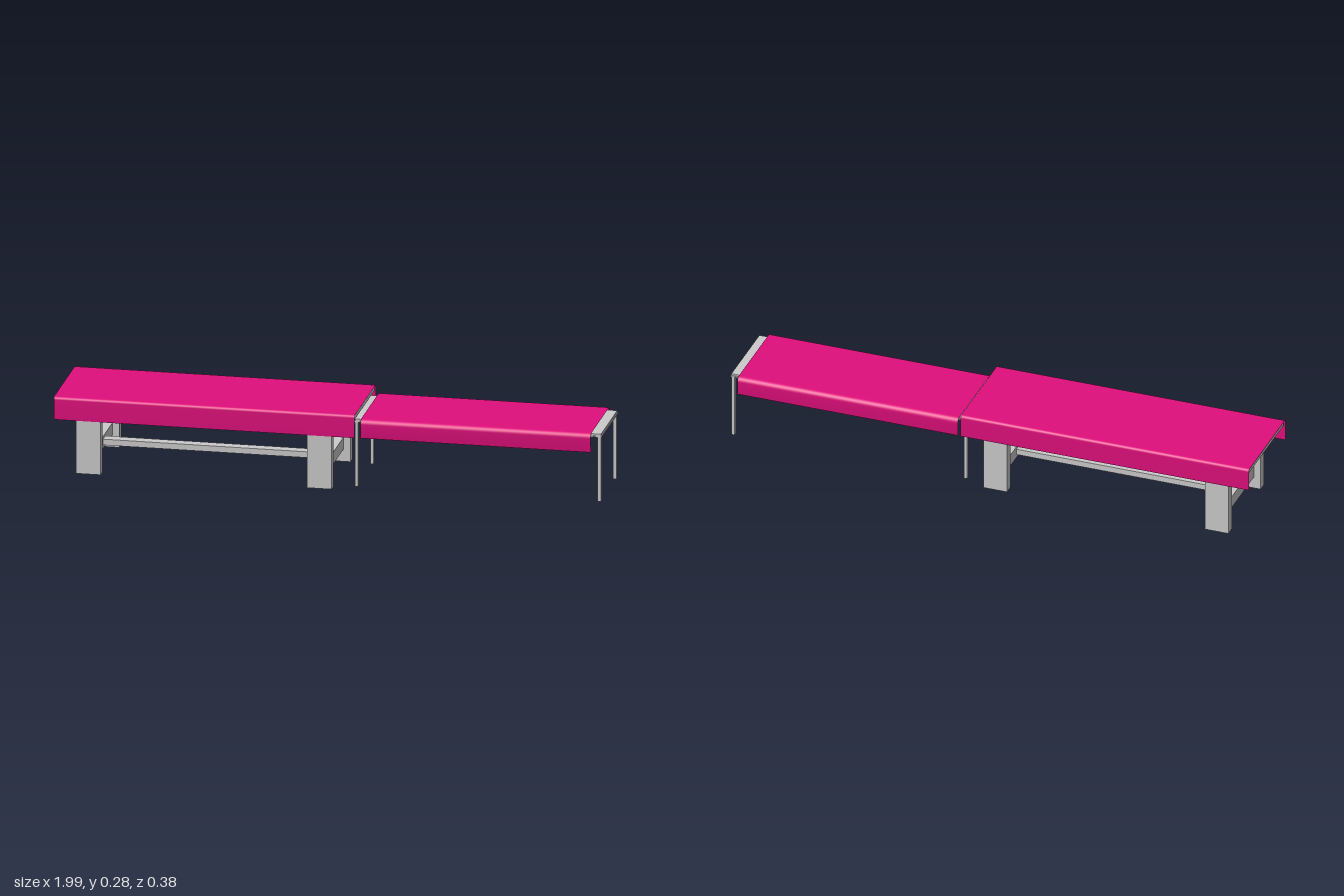
import * as THREE from 'three';

const grey = new THREE.MeshStandardMaterial({ color: 0xcccccc });
const pink = new THREE.MeshStandardMaterial({ color: 0xe00f7c, side: THREE.DoubleSide });

// Box given by its extents on each axis
function box(name, [x0, x1], [y0, y1], [z0, z1]) {
  const geo = new THREE.BoxGeometry(x1 - x0, y1 - y0, z1 - z0);
  geo.translate((x0 + x1) / 2, (y0 + y1) / 2, (z0 + z1) / 2);
  const mesh = new THREE.Mesh(geo, grey);
  mesh.name = name;
  return mesh;
}

// Thin open sheet draped over a top: a rounded profile in (z, y) swept along x
function drape(name, [x0, x1], [zBack, zFront], top, hem, r, flare) {
  const path = [];
  const half = (zFront - zBack) / 2, mid = (zFront + zBack) / 2;
  const side = [[half - flare, hem], [half - flare * 0.3, (hem + top - r) / 2]];
  for (let i = 0; i <= 6; i++) {
    const a = (i / 6) * Math.PI / 2;
    side.push([half - r + r * Math.cos(a), top - r + r * Math.sin(a)]);
  }
  side.push([half - r - 0.004, top]);
  side.forEach(([z, y]) => path.push([mid + z, y]));
  [...side].reverse().forEach(([z, y]) => path.push([mid - z, y]));

  const geo = new THREE.PlaneGeometry(1, 1, 1, path.length - 1);
  const pos = geo.attributes.position;
  path.forEach(([z, y], i) => {
    pos.setXYZ(i * 2, x1, y, z);
    pos.setXYZ(i * 2 + 1, x0, y, z);
  });
  // Keep the outside of the sheet as its front face
  const index = geo.index.array;
  for (let i = 0; i < index.length; i += 3) {
    [index[i], index[i + 1]] = [index[i + 1], index[i]];
  }
  geo.computeVertexNormals();
  const mesh = new THREE.Mesh(geo, pink);
  mesh.name = name;
  return mesh;
}

function createTable() {
  const table = new THREE.Group();
  table.name = 'table';
  table.add(box('tableTop', [-0.995, 0.095], [0.262, 0.276], [-0.183, 0.183]));
  for (const x of [-0.875, -0.03]) {
    for (const s of [-1, 1]) {
      const z = s * 0.1665;
      table.add(box('tableLeg', [x - 0.045, x + 0.045], [0, 0.262], [z - 0.0175, z + 0.0175]));
    }
    table.add(box('crossbar', [x - 0.02, x + 0.02], [0.047, 0.092], [-0.15, 0.15]));
  }
  table.add(box('stretcher', [-0.86, -0.045], [0.06, 0.082], [-0.02, 0.02]));
  table.add(drape('tableCloth', [-1, 0.1], [-0.19, 0.19], 0.284, 0.199, 0.011, 0.001));
  return table;
}

function createSideTable() {
  const side = new THREE.Group();
  side.name = 'sideTable';
  side.add(box('sideTop', [0.09, 0.99], [0.247, 0.255], [-0.149, 0.139]));
  side.add(box('sideTopRim', [0.088, 0.993], [0.243, 0.248], [-0.152, 0.141]));
  for (const x of [0.096, 0.984]) {
    for (const z of [-0.142, 0.132]) {
      side.add(box('sideLeg', [x - 0.006, x + 0.006], [0.002, 0.244], [z - 0.007, z + 0.007]));
    }
  }
  side.add(drape('sideCloth', [0.115, 0.957], [-0.178, 0.162], 0.26, 0.19, 0.018, 0.004));
  return side;
}

export function createModel() {
  const model = new THREE.Group();
  model.name = 'coveredTables';
  model.add(createTable(), createSideTable());
  return model;
}
